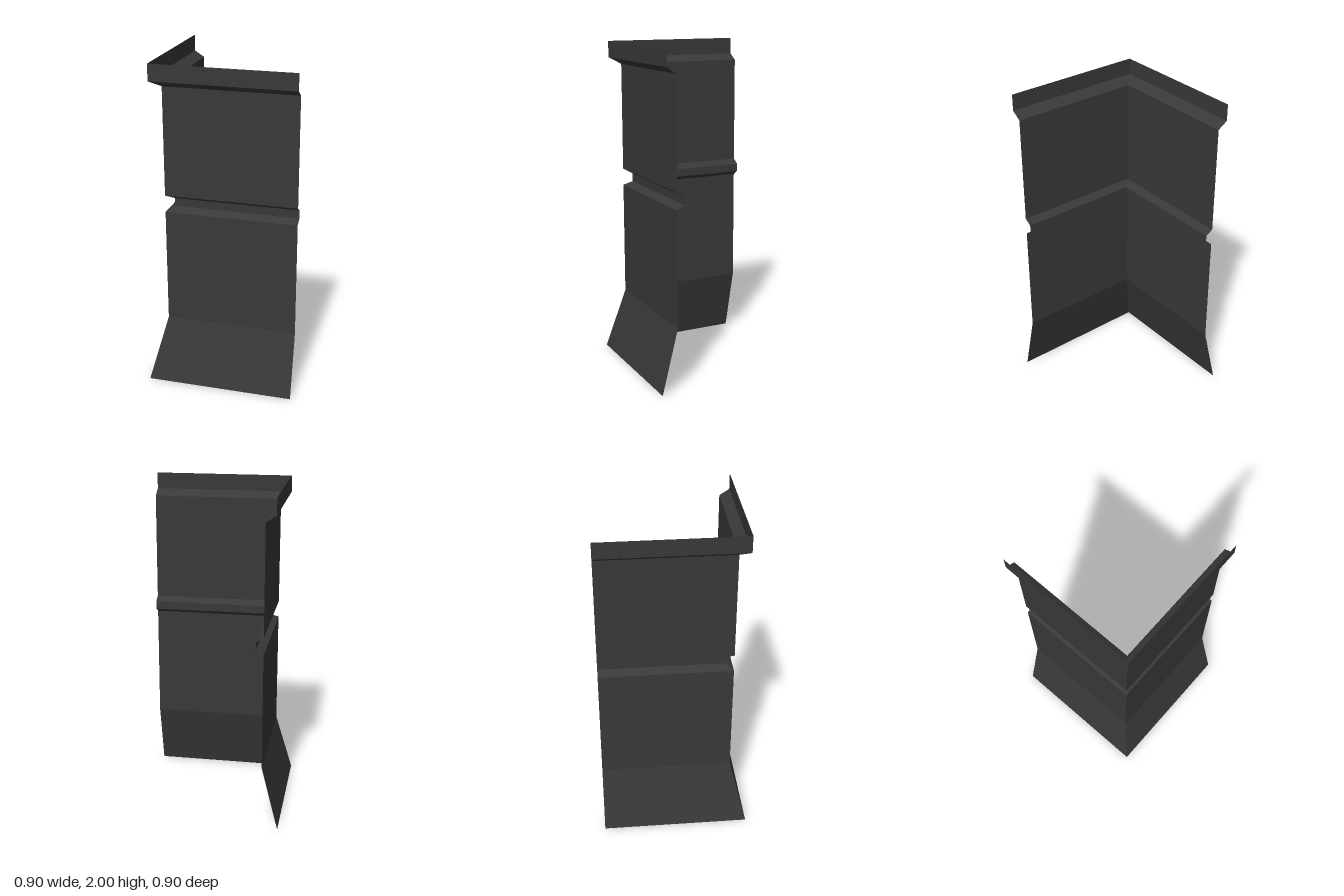
import * as THREE from 'three';

// Folded sheet-metal corner: each strip runs along both walls and is mitred at the corner.
const END = 0.45;

// Plan path at offset p: back end of side wall, mitred corner, right end of front wall
const planPath = (p) => [[-p, -END], [-p, p], [END, p]];

// Flat-shaded strips between consecutive [offset, height] profile points
function foldedStrip(name, profile, material) {
  const pos = [];
  for (let i = 0; i < profile.length - 1; i++) {
    const [p0, y0] = profile[i];
    const [p1, y1] = profile[i + 1];
    const low = planPath(p0).map(([x, z]) => [x, y0, z]);
    const high = planPath(p1).map(([x, z]) => [x, y1, z]);
    for (let w = 0; w < 2; w++) {
      pos.push(...low[w], ...low[w + 1], ...high[w + 1]);
      pos.push(...low[w], ...high[w + 1], ...high[w]);
    }
  }
  const geometry = new THREE.BufferGeometry();
  geometry.setAttribute('position', new THREE.Float32BufferAttribute(pos, 3));
  geometry.computeVertexNormals();
  const mesh = new THREE.Mesh(geometry, material);
  mesh.name = name;
  return mesh;
}

export function createModel() {
  const metal = new THREE.MeshStandardMaterial({ color: 0x393939, side: THREE.DoubleSide });
  metal.name = 'dark grey metal';

  const group = new THREE.Group();
  group.name = 'cornerPanel';
  const parts = {
    flaredSkirt: [[0.45, 0], [0.35, 0.4]],
    lowerWall: [[0.35, 0.4], [0.35, 1.1]],
    groove: [[0.35, 1.1], [0.305, 1.127], [0.305, 1.177], [0.35, 1.204]],
    upperWall: [[0.35, 1.204], [0.35, 1.862]],
    topLip: [[0.35, 1.862], [0.41, 1.9], [0.41, 2]],
  };
  for (const [name, profile] of Object.entries(parts)) {
    group.add(foldedStrip(name, profile, metal));
  }
  return group;
}
